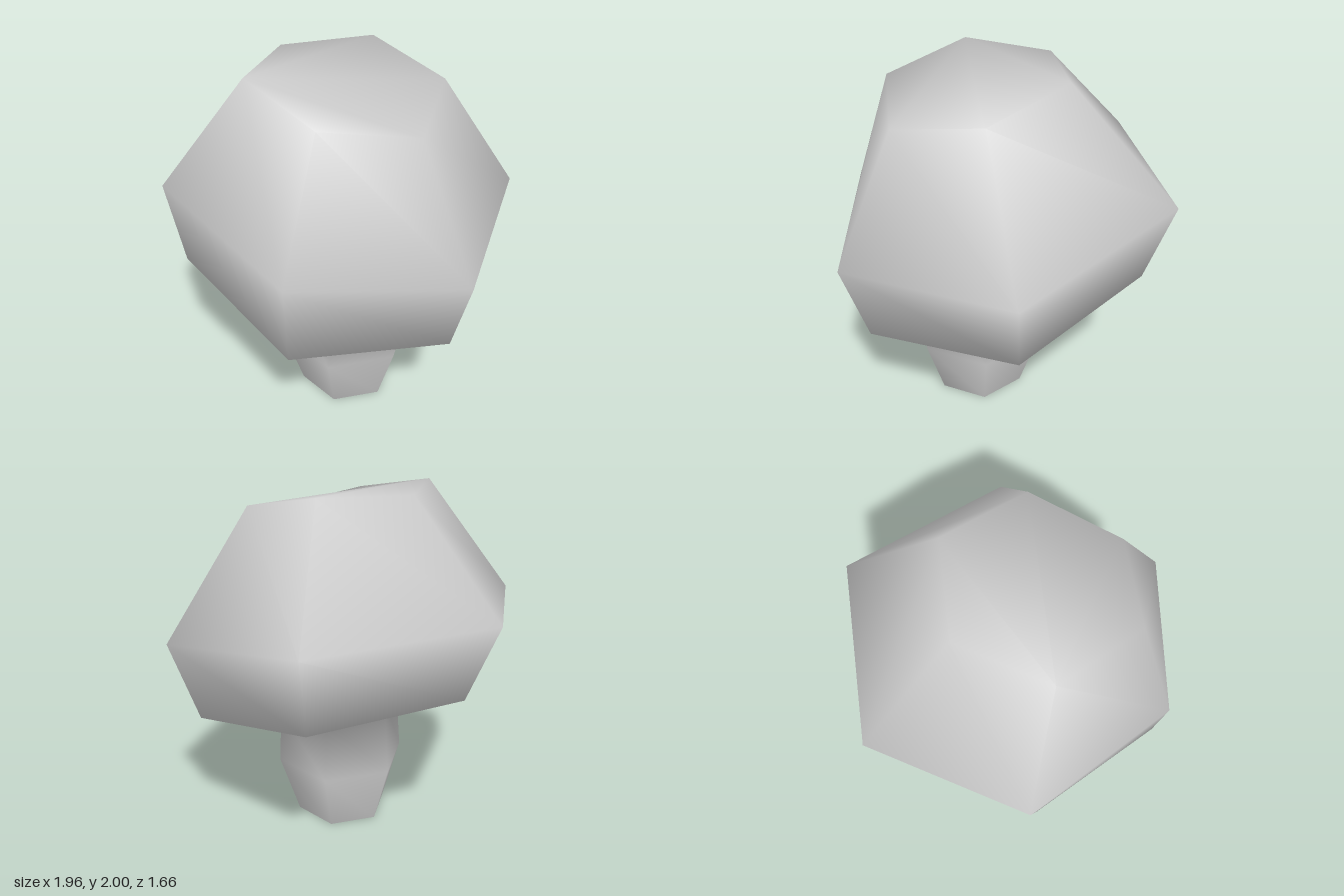
import * as THREE from 'three';

const SIDES = 6;

// One six-sided ring, ordered: +x point, front pair, -x point, back pair.
// xs and ys run from the +x point to the -x point; front and back share them.
function ring(xs, ys, zMid, zFront, zBack) {
  return [
    [xs[0], ys[0], zMid], [xs[1], ys[1], zFront], [xs[2], ys[2], zFront],
    [xs[3], ys[3], zMid], [xs[2], ys[2], zBack], [xs[1], ys[1], zBack],
  ];
}

export function createModel() {
  const group = new THREE.Group();
  const material = new THREE.MeshStandardMaterial({ color: 0xcccccc });
  material.name = 'light grey';

  // Cross-sections from the foot up to the tilted crown
  const rings = [
    ring([0.37, 0.232, -0.043, -0.18], [0, 0, 0, 0], 0.075, 0.31, -0.16),
    ring([0.48, 0.29, -0.095, -0.285], [0.36, 0.36, 0.36, 0.36], 0.07, 0.405, -0.26),
    ring([0.47, 0.3, -0.08, -0.25], [0.66, 0.665, 0.73, 0.79], 0.075, 0.38, -0.23),
    ring([0.845, 0.42, -0.43, -0.81], [0.675, 0.757, 0.94, 1.0], 0.04, 0.79, -0.72),
    ring([0.975, 0.52, -0.515, -0.98], [1.12, 1.2, 1.385, 1.43], 0.07, 0.83, -0.835),
    ring([0.61, 0.357, -0.16, -0.41], [1.805, 1.9, 2.0, 1.99], 0.075, 0.52, -0.37),
  ];
  rings[4][1] = [0.43, 1.2, 0.81]; // slightly pulled-in front corner of the rim

  // Quads between ring r and ring r + 1
  const wall = (r) => {
    const index = [];
    for (let i = 0; i < SIDES; i++) {
      const a = r * SIDES + i;
      const b = r * SIDES + ((i + 1) % SIDES);
      index.push(a, a + SIDES, b + SIDES, a, b + SIDES, b);
    }
    return index;
  };

  // Crown fan closing the top ring
  const crown = [];
  const top = (rings.length - 1) * SIDES;
  for (let k = 1; k < SIDES - 1; k++) {
    crown.push(top + 2, top + ((k + 3) % SIDES), top + ((k + 2) % SIDES));
  }

  const stemIndex = [...wall(0), ...wall(1)];
  const capIndex = [...wall(2), ...wall(3), ...wall(4), ...crown];

  // One skin gives shared smooth normals across the stem and cap joint
  const skin = new THREE.BufferGeometry();
  skin.setAttribute('position', new THREE.Float32BufferAttribute(rings.flat(2), 3));
  skin.setIndex([...stemIndex, ...capIndex]);
  skin.computeVertexNormals();

  const addPart = (name, geometry) => {
    const mesh = new THREE.Mesh(geometry, material);
    mesh.name = name;
    group.add(mesh);
  };
  for (const [name, index] of [['stem', stemIndex], ['cap', capIndex]]) {
    const part = skin.clone();
    part.setIndex(index);
    addPart(name, part);
  }

  // Flat underside of the stem, with its own normals for a crisp edge
  const foot = new THREE.BufferGeometry();
  foot.setAttribute('position', new THREE.Float32BufferAttribute(rings[0].flat(), 3));
  const footIndex = [];
  for (let i = 1; i < SIDES - 1; i++) footIndex.push(0, i, i + 1);
  foot.setIndex(footIndex);
  foot.computeVertexNormals();
  addPart('stemFoot', foot);

  return group;
}
